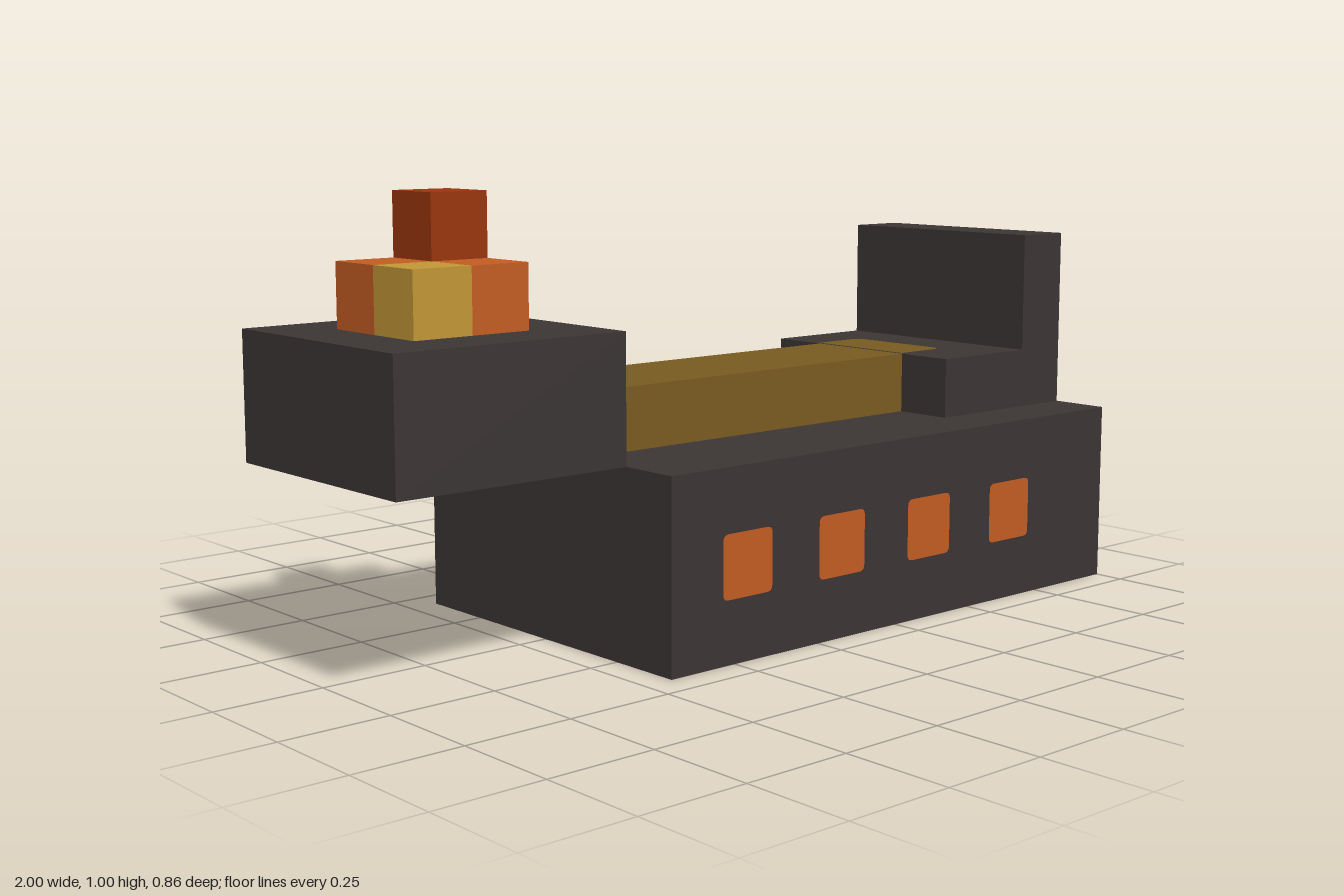
import * as THREE from 'three';

// One grid unit: the model is 14 units long and 2 wide in world space
const U = 1 / 7;

export function createModel() {
  const model = new THREE.Group();
  const paint = (name, color) => {
    const m = new THREE.MeshStandardMaterial({ color });
    m.name = name;
    return m;
  };
  const charcoal = paint('charcoal', 0x3b3534);
  const bronze = paint('bronze', 0x785a20);
  const orange = paint('orange', 0xc25c22);
  const yellow = paint('yellow', 0xc09635);
  const rust = paint('rust', 0x98350d);

  const add = (name, geometry, material) => {
    const mesh = new THREE.Mesh(geometry, material);
    mesh.name = name;
    model.add(mesh);
    return mesh;
  };

  // Box given by its extents in grid units
  const block = (name, material, [x0, x1], [y0, y1], [z0, z1]) => {
    const g = new THREE.BoxGeometry((x1 - x0) * U, (y1 - y0) * U, (z1 - z0) * U);
    g.translate(((x0 + x1) / 2) * U, ((y0 + y1) / 2) * U, ((z0 + z1) / 2) * U);
    return add(name, g, material);
  };

  // Flat panel centred on the origin, with separate left and right corner radii
  const panel = (w, h, rl, rr) => {
    const s = new THREE.Shape();
    const x = w / 2, y = h / 2;
    s.moveTo(-x + rl, -y);
    s.lineTo(x - rr, -y);
    s.quadraticCurveTo(x, -y, x, -y + rr);
    s.lineTo(x, y - rr);
    s.quadraticCurveTo(x, y, x - rr, y);
    s.lineTo(-x + rl, y);
    if (rl) s.quadraticCurveTo(-x, y, -x, y - rl);
    s.lineTo(-x, -y + rl);
    if (rl) s.quadraticCurveTo(-x, -y, -x + rl, -y);
    return new THREE.ShapeGeometry(s, 4);
  };

  // Main body, raised rear deck and upright end wall
  block('body', charcoal, [-3, 7], [0, 3], [-3, 3]);
  block('rearDeck', charcoal, [4, 7], [3, 4], [-2, 2]);
  block('endWall', charcoal, [6, 7], [4, 6], [-2, 2]);

  // Ridge along the back, ending as a rounded inlay on the deck
  block('ridge', bronze, [-3, 4], [3, 4], [-1, 1]);
  const inlay = add('ridgeInlay', panel(U, 2 * U, 0, 0.03), bronze);
  inlay.rotation.x = -Math.PI / 2;
  inlay.position.set(4.5 * U, 4 * U + 0.002, 0);

  // Overhanging front block with its cluster of cubes
  block('head', charcoal, [-7, -3], [3, 5], [-2, 2]);
  block('yellowCube', yellow, [-6, -5], [5, 6], [0, 1]);
  block('orangeFrontCube', orange, [-5, -4], [5, 6], [0, 1]);
  block('orangeBackCubes', orange, [-6, -4], [5, 6], [-1, 0]);
  block('topCube', rust, [-5, -4], [6, 7], [-1, 0]);

  // Four glowing windows on each long side
  const windowPane = panel(U, U, 0.015, 0.015);
  for (const side of [1, -1]) {
    for (let i = 0; i < 4; i++) {
      const pane = add('window', windowPane, orange);
      pane.position.set((-1.5 + 2 * i) * U, 1.5 * U, side * (3 * U + 0.002));
      if (side < 0) pane.rotation.y = Math.PI;
    }
  }

  return model;
}
